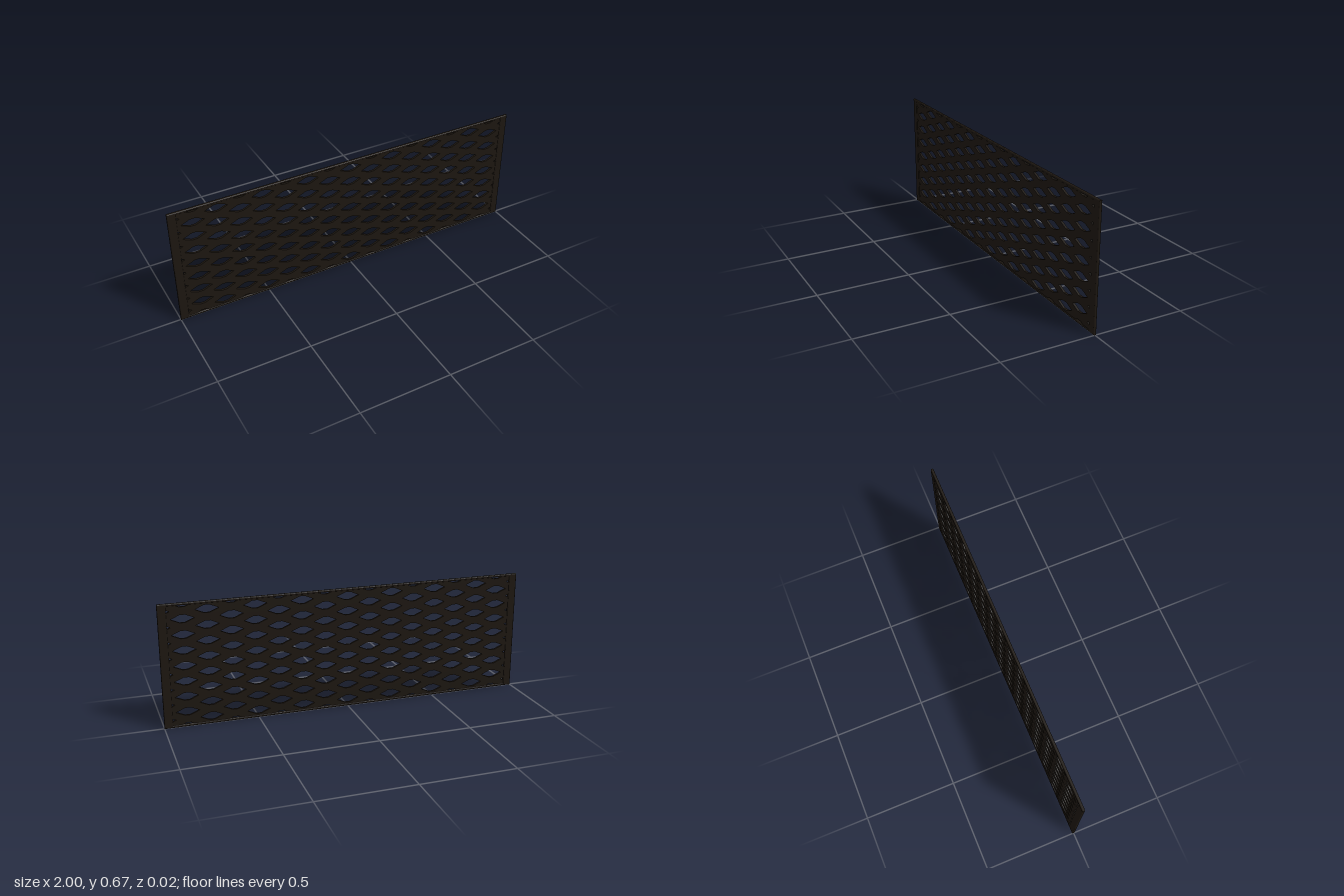
import * as THREE from 'three';

const W = 2, H = 2 / 3, DEPTH = 0.016;
const PITCH_X = 0.125, ROWS = 16, PITCH_Y = H / ROWS;

// Rectangle outline as points, centred on x
const rect = (x, y0, y1) => [[-x, y0], [x, y0], [x, y1], [-x, y1]].map(p => new THREE.Vector2(...p));

// Keep the part of a polygon where axis value * sign <= limit
function clip(points, axis, sign, limit) {
  const out = [];
  points.forEach((a, i) => {
    const b = points[(i + 1) % points.length];
    const da = a[axis] * sign - limit, db = b[axis] * sign - limit;
    if (da <= 0) out.push(a);
    if (da * db < 0) out.push(a.clone().lerp(b, da / (da - db)));
  });
  return out;
}

// Flattened diamond opening, trimmed where it runs under the frame
function opening(cx, cy) {
  const w = 0.062, h = 0.0205, flat = 0.014;
  let pts = [[-w, 0], [-flat, -h], [flat, -h], [w, 0], [flat, h], [-flat, h]]
    .map(([x, y]) => new THREE.Vector2(cx + x, cy + y));
  pts = clip(pts, 'x', 1, 0.98);
  pts = clip(pts, 'x', -1, 0.98);
  pts = clip(pts, 'y', 1, H - 0.008);
  return clip(pts, 'y', -1, -0.008);
}

export function createModel() {
  const group = new THREE.Group();
  group.name = 'expandedMetalPanel';
  const material = new THREE.MeshStandardMaterial({ color: 0x1c1610 });

  // Mesh sheet with staggered diamond openings
  const sheet = new THREE.Shape(rect(W / 2 - 0.01, 0.005, H - 0.005));
  for (let row = 0; row <= ROWS; row++) {
    for (let col = -8; col <= 8; col++) {
      if ((row + col) % 2 === 0) continue;
      sheet.holes.push(new THREE.Path(opening(col * PITCH_X, row * PITCH_Y)));
    }
  }
  const meshDepth = 0.012;
  const sheetGeo = new THREE.ExtrudeGeometry(sheet, { depth: meshDepth, bevelEnabled: false });
  sheetGeo.translate(0, 0, -meshDepth / 2);
  const mesh = new THREE.Mesh(sheetGeo, material);
  mesh.name = 'diamondMesh';
  group.add(mesh);

  // Border frame with rounded edges: wide side bars, narrow rails
  const bevel = 0.005;
  const border = new THREE.Shape(rect(W / 2, 0, H));
  border.holes.push(new THREE.Path(rect(W / 2 - 0.045, 0.013, H - 0.013)));
  const frameGeo = new THREE.ExtrudeGeometry(border, {
    depth: DEPTH - 2 * bevel, bevelThickness: bevel, bevelSize: bevel,
    bevelOffset: -bevel, bevelSegments: 3,
  });
  frameGeo.translate(0, 0, bevel - DEPTH / 2);
  const frame = new THREE.Mesh(frameGeo, material);
  frame.name = 'borderFrame';
  group.add(frame);

  return group;
}
